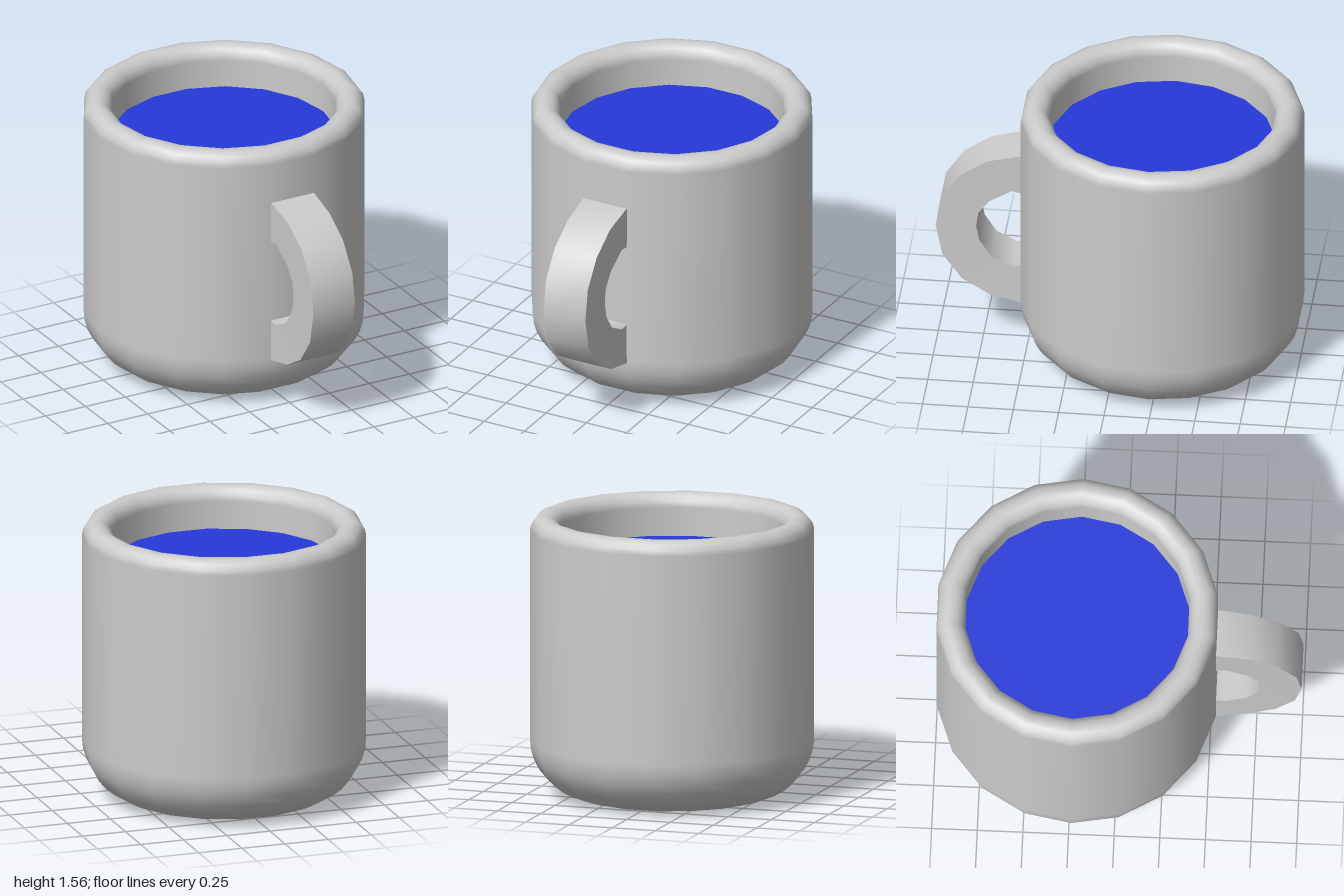
import * as THREE from 'three';
import { toCreasedNormals } from 'three/addons/utils/BufferGeometryUtils.js';

const SIDES = 18;
const CENTRE_Z = -0.235;
const OUTER = 0.778, INNER = 0.62, HEIGHT = 1.556;

// Points along a circular arc, angles in degrees
function arc(cx, cy, r, from, to, steps) {
  return Array.from({ length: steps + 1 }, (_, i) => {
    const a = THREE.MathUtils.degToRad(from + (to - from) * i / steps);
    return new THREE.Vector2(cx + r * Math.cos(a), cy + r * Math.sin(a));
  });
}

export function createModel() {
  const group = new THREE.Group();
  const grey = new THREE.MeshStandardMaterial({ color: 0xcccccc });
  const blue = new THREE.MeshStandardMaterial({ color: 0x2639d9 });
  const add = (name, geometry, material) => {
    const mesh = new THREE.Mesh(geometry, material);
    mesh.name = name;
    group.add(mesh);
    return mesh;
  };

  // Cup: flat base, wide lower rounding, rounded rim, hollow inside
  const rim = (OUTER - INNER) / 2;
  const profile = [
    new THREE.Vector2(0, 0),
    new THREE.Vector2(0.44, 0),
    ...arc(OUTER - 0.31, 0.31, 0.31, -90, 0, 8),
    ...arc(OUTER - rim, HEIGHT - rim, rim, 0, 180, 8),
    ...arc(INNER - 0.2, 0.3, 0.2, 0, -90, 4),
    new THREE.Vector2(0, 0.1),
  ];
  const cup = add('cup', new THREE.LatheGeometry(profile, SIDES, Math.PI / 2), grey);
  cup.position.z = CENTRE_Z;

  // Liquid surface a little below the rim
  const liquid = add('liquid', new THREE.CircleGeometry(INNER, SIDES).rotateX(-Math.PI / 2), blue);
  liquid.position.set(0, 1.32, CENTRE_Z);

  // Handle: faceted half ring, drawn as (z, y) and extruded across x
  const outline = [
    [0.5, 1.25], [0.54, 1.25], [0.717, 1.203], [0.87, 1.1], [0.973, 0.947], [1, 0.77],
    [0.963, 0.583], [0.855, 0.433], [0.705, 0.342], [0.54, 0.303], [0.5, 0.3],
    [0.5, 0.545], [0.58, 0.53], [0.695, 0.59], [0.76, 0.69], [0.777, 0.78],
    [0.765, 0.865], [0.705, 0.945], [0.58, 1.02], [0.5, 1.005],
  ].map(([z, y]) => new THREE.Vector2(z, y));
  const handle = new THREE.ExtrudeGeometry(new THREE.Shape(outline), { depth: 0.26, bevelEnabled: false });
  handle.translate(0, 0, -0.13).rotateY(-Math.PI / 2);

  // Slightly wider where it meets the cup
  const p = handle.attributes.position;
  for (let i = 0; i < p.count; i++) if (p.getZ(i) < 0.56) p.setX(i, p.getX(i) * 1.03);
  add('handle', toCreasedNormals(handle, 0.8), grey);

  return group;
}
